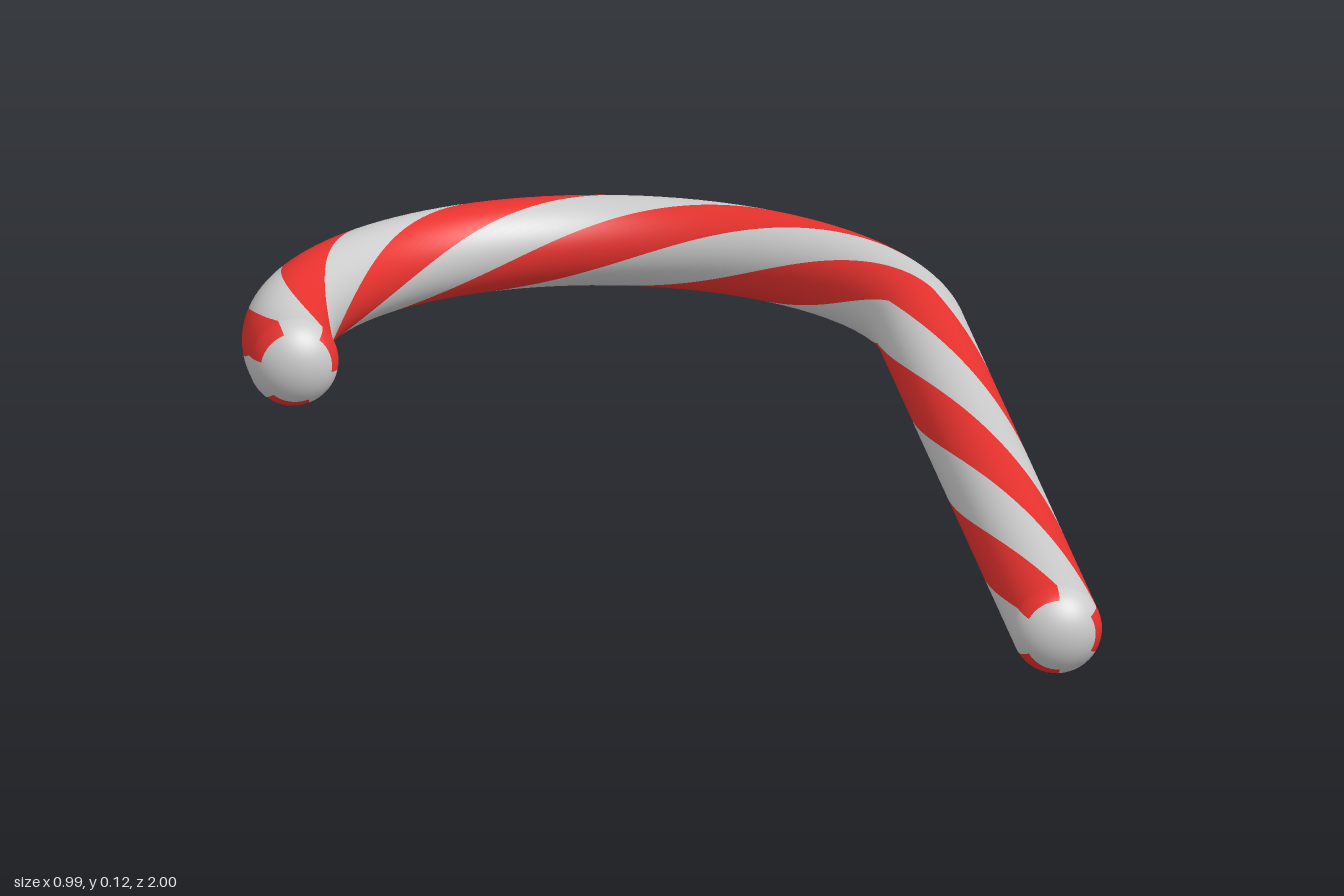
import * as THREE from 'three';

const R = 0.062;          // cane radius
const BEND = 0.435;       // half width of the hook
const DEPTH = 0.48;       // depth of the hook
const LEG_FRONT = 0.95, BEND_Z = -0.46, TIP_Z = -0.43;
const CAP = 0.05;         // length of the rounded ends
const CAP_RED = 0.65;     // cap angle at which the stripes stop
const UP = new THREE.Vector3(0, 1, 0);
const rad = THREE.MathUtils.degToRad;

// One cross-section: centre, direction of travel, twist, and cap angle (negative at the start)
function station(x, z, tx, tz, twist, cap = 0) {
  const dir = new THREE.Vector3(tx, 0, tz).normalize();
  const out = new THREE.Vector3(-dir.z, 0, dir.x);
  const centre = new THREE.Vector3(x, R, z).addScaledVector(dir, Math.sin(cap) * CAP);
  return { centre, dir, out, twist: rad(twist), cap, radius: R * Math.cos(cap) };
}

const startCap = (a) => station(BEND, LEG_FRONT, 0, -1, 0, -a);
const endCap = (a) => station(-BEND, TIP_Z, 0, 1, 640, a);

function caneStations() {
  const list = [];
  for (let i = 6; i > 0; i--) list.push(startCap(CAP_RED * i / 6));
  for (let i = 0; i < 70; i++) {                       // straight leg
    const t = i / 70;
    list.push(station(BEND, THREE.MathUtils.lerp(LEG_FRONT, BEND_Z, t), 0, -1, 225 * t));
  }
  for (let i = 0; i <= 110; i++) {                     // hook
    const a = Math.PI * i / 110, c = Math.cos(a), s = Math.sin(a);
    list.push(station(BEND * c, BEND_Z - DEPTH * s, -BEND * s, -DEPTH * c, 225 + 405 * i / 110));
  }
  for (let i = 0; i <= 6; i++) list.push(endCap(CAP_RED * i / 6));
  return list;
}

// Skin over a run of stations, between two angles around the cane
function skin(stations, from, to, segs) {
  const pos = [], nor = [], idx = [];
  const radial = new THREE.Vector3(), p = new THREE.Vector3();
  stations.forEach((st, i) => {
    for (let j = 0; j <= segs; j++) {
      const a = from + (to - from) * j / segs + st.twist;
      radial.copy(st.out).multiplyScalar(Math.cos(a)).addScaledVector(UP, Math.sin(a));
      p.copy(st.centre).addScaledVector(radial, st.radius);
      pos.push(p.x, p.y, p.z);
      p.copy(radial).multiplyScalar(Math.cos(st.cap) / R).addScaledVector(st.dir, Math.sin(st.cap) / CAP).normalize();
      nor.push(p.x, p.y, p.z);
      if (i > 0 && j > 0) {
        const d = i * (segs + 1) + j, c = d - 1, b = d - segs - 1, e = b - 1;
        idx.push(e, b, d, e, d, c);
      }
    }
  });
  const g = new THREE.BufferGeometry();
  g.setAttribute('position', new THREE.Float32BufferAttribute(pos, 3));
  g.setAttribute('normal', new THREE.Float32BufferAttribute(nor, 3));
  // Make the faces point outwards
  const A = new THREE.Vector3(), B = new THREE.Vector3(), C = new THREE.Vector3(), N = new THREE.Vector3();
  const mid = (Math.floor(stations.length / 2) * segs) * 6;
  const at = (v, k) => v.fromArray(pos, idx[mid + k] * 3);
  at(A, 0); at(B, 1); at(C, 2);
  N.fromArray(nor, idx[mid] * 3);
  if (B.sub(A).cross(C.sub(A)).dot(N) < 0) idx.reverse();
  g.setIndex(idx);
  return g;
}

export function createModel() {
  const cane = new THREE.Group();
  cane.name = 'candyCane';
  const pale = new THREE.MeshStandardMaterial({ color: 0xcccccc });
  const red = new THREE.MeshStandardMaterial({ color: 0xe8322e });
  const add = (name, geometry, material) => {
    const mesh = new THREE.Mesh(geometry, material);
    mesh.name = name;
    cane.add(mesh);
  };

  // Three red and three pale stripes winding around the cane
  const body = caneStations();
  for (let k = 0; k < 6; k++) {
    const mid = rad(60 * k), isRed = k % 2 === 0;
    add(isRed ? 'redStripe' : 'paleStripe', skin(body, mid - rad(30), mid + rad(30), 8), isRed ? red : pale);
  }

  // Plain rounded ends
  const tip = [], foot = [];
  for (let i = 0; i <= 8; i++) {
    const a = THREE.MathUtils.lerp(CAP_RED, Math.PI / 2, i / 8);
    tip.push(endCap(a));
    foot.unshift(startCap(a));
  }
  add('hookTip', skin(tip, -rad(30), rad(330), 48), pale);
  add('legTip', skin(foot, -rad(30), rad(330), 48), pale);
  return cane;
}
